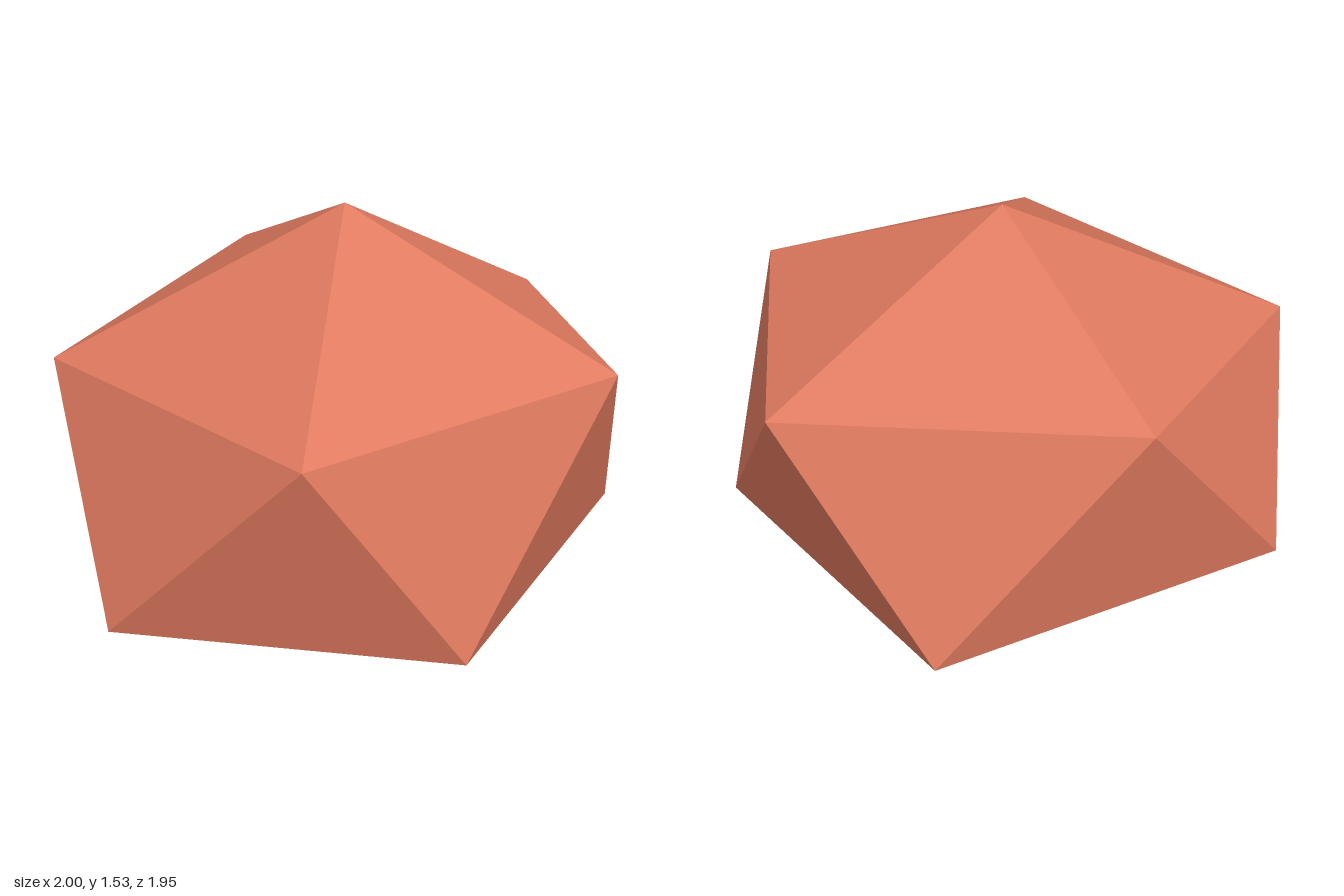
import * as THREE from 'three';

// Irregular twenty-sided rock: two staggered five-point rings between two poles.
const TOP = [0.12, 1.53, -0.02];
const BOTTOM = [0.11, 0, 0.02];
const UPPER = [
  [0.38, 1.14, 0.94], [1.0, 1.07, 0.1], [0.36, 1.16, -0.86],
  [-0.73, 1.04, -0.56], [-0.7, 1.1, 0.68],
];
const LOWER = [
  [0.82, 0.42, 0.68], [0.91, 0.41, -0.51], [-0.19, 0.49, -0.98],
  [-1.0, 0.39, 0.09], [-0.3, 0.4, 0.97],
];

function rockGeometry() {
  const positions = [];
  const face = (...corners) => corners.forEach((c) => positions.push(...c));
  for (let i = 0; i < 5; i++) {
    const j = (i + 1) % 5;
    face(TOP, UPPER[i], UPPER[j]); // cap
    face(UPPER[i], LOWER[i], UPPER[j]); // side band
    face(UPPER[j], LOWER[i], LOWER[j]);
    face(BOTTOM, LOWER[j], LOWER[i]); // underside
  }
  const geometry = new THREE.BufferGeometry();
  geometry.setAttribute('position', new THREE.Float32BufferAttribute(positions, 3));
  geometry.computeVertexNormals();
  return geometry;
}

export function createModel() {
  const terracotta = new THREE.MeshStandardMaterial({ color: 0xe07a5f, flatShading: true });
  terracotta.name = 'terracotta';

  const rock = new THREE.Mesh(rockGeometry(), terracotta);
  rock.name = 'rock';

  const model = new THREE.Group();
  model.name = 'facetedRock';
  model.add(rock);
  return model;
}
